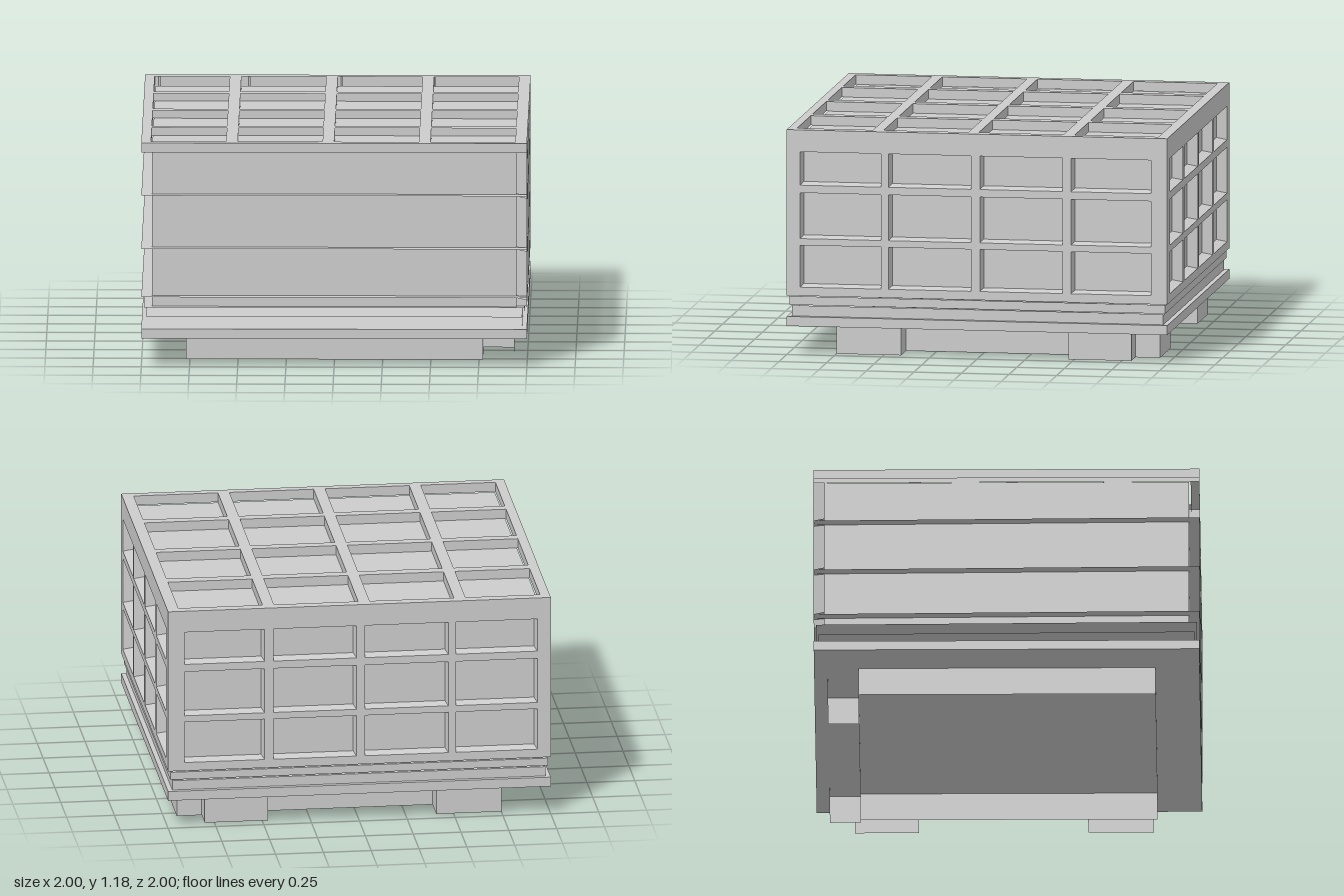
import * as THREE from 'three';

const grey = new THREE.MeshStandardMaterial({ color: 0xcccccc, side: THREE.DoubleSide });
grey.name = 'plain grey';

function part(name, geometry, x = 0, y = 0, z = 0) {
  const mesh = new THREE.Mesh(geometry, grey);
  mesh.position.set(x, y, z);
  mesh.name = name;
  return mesh;
}

// Square slab centred on the vertical axis
const slab = (name, half, y0, y1) =>
  part(name, new THREE.BoxGeometry(half * 2, y1 - y0, half * 2), 0, (y0 + y1) / 2, 0);

// Four-sided thin sheet through corners a, b, c, d
function sheet(name, a, b, c, d) {
  const geometry = new THREE.BufferGeometry();
  geometry.setAttribute('position', new THREE.Float32BufferAttribute([a, b, c, a, c, d].flat(), 3));
  geometry.computeVertexNormals();
  return part(name, geometry);
}

// Upright sheet between two points on the ground plan
const upright = (name, [xa, za], [xb, zb], y0, y1) =>
  sheet(name, [xa, y0, za], [xb, y0, zb], [xb, y1, zb], [xa, y1, za]);

// Near-horizontal sheet with its own height at the back and the front
const ledge = (name, x0, x1, z0, z1, yBack, yFront) =>
  sheet(name, [x0, yFront, z1], [x1, yFront, z1], [x1, yBack, z0], [x0, yBack, z0]);

// Pierced plate facing +z, with one returned edge per column and per row;
// side picks which edge of each column is returned (0 low, 1 high),
// lean is how far the returns slope into the windows
function lattice(name, y0, y1, columns, rows, side, depth, lean) {
  const group = new THREE.Group();
  group.name = name;
  const shape = new THREE.Shape();
  shape.moveTo(-1, y0).lineTo(1, y0).lineTo(1, y1).lineTo(-1, y1).closePath();
  for (const [a, b] of columns) {
    for (const [c, d] of rows) {
      const hole = new THREE.Path();
      hole.moveTo(a, c).lineTo(a, d).lineTo(b, d).lineTo(b, c).closePath();
      shape.holes.push(hole);
    }
  }
  group.add(part('gridFace', new THREE.ShapeGeometry(shape)));
  for (const column of columns) {
    const u = column[side];
    const v = u + (side ? -lean : lean);
    group.add(sheet('uprightReturn', [u, y0, 0], [u, y1, 0], [v, y1, -depth], [v, y0, -depth]));
  }
  for (const [c] of rows) {
    group.add(sheet('crossReturn', [-1, c, 0], [1, c, 0], [1, c + lean, -depth], [-1, c + lean, -depth]));
  }
  return group;
}

export function createModel() {
  const model = new THREE.Group();
  model.name = 'panelledBlock';

  // Main block and plinth rim
  model.add(slab('body', 0.945, 0.31, 1.13), slab('plinthRim', 1, 0.15, 0.2));

  // Stepped ledges, with upright faces on the left and back only
  for (const [half, y0, y1] of [[0.975, 0.2, 0.25], [0.987, 0.26, 0.3]]) {
    model.add(
      ledge('stepLedge', -half, half, -half, half, y1, y1 + 0.01),
      upright('stepLeftFace', [half, half], [half, -half], y0, y1 + 0.005),
      upright('stepBackFace', [half, -half], [-half, -half], y0, y1),
    );
  }

  // Roof grid and its rim on the front and right
  const roof = lattice('roofGrid', -1, 1,
    [[-0.95, -0.56], [-0.5, -0.06], [0, 0.44], [0.5, 0.94]],
    [[-0.955, -0.555], [-0.5, -0.055], [0, 0.445], [0.505, 0.945]], 0, 0.05, 0);
  roof.rotation.x = -Math.PI / 2;
  roof.position.y = 1.18;
  model.add(
    roof,
    upright('roofFrontRim', [-1, 1], [1, 1], 1.13, 1.18),
    upright('roofRightRim', [-1, -1], [-1, 1], 1.13, 1.18),
  );

  // Window grids on the left and back walls
  const columns = [[-0.93, -0.505], [-0.465, -0.03], [0.015, 0.45], [0.495, 0.915]];
  const rows = [[0.355, 0.575], [0.61, 0.85], [0.89, 1.065]];
  const leftGrid = lattice('leftWallGrid', 0.31, 1.18, columns, rows, 0, 0.055, 0.012);
  leftGrid.rotation.y = Math.PI / 2;
  leftGrid.position.x = 1;
  const backColumns = columns.map(([a, b]) => [-b, -a]);
  const backGrid = lattice('backWallGrid', 0.31, 1.18, backColumns, rows, 1, 0.055, 0.012);
  backGrid.rotation.y = Math.PI;
  backGrid.position.z = -1;
  model.add(leftGrid, backGrid);

  // Thin ledges on the front and right walls
  for (const [y] of rows) {
    model.add(
      ledge('frontLedge', -1, 1, 0.945, 1, y + 0.012, y + 0.012),
      ledge('rightLedge', -1, -0.945, -1, 1, y, y + 0.012),
    );
  }

  // Open skirt under the plinth
  const s = 0.77;
  const corners = [[-s, s], [s, s], [s, -s], [-s, -s]];
  corners.forEach((corner, i) => {
    model.add(upright('skirtWall', corner, corners[(i + 1) % 4], 0, 0.15));
  });

  // Angled feet along the left and back edges
  for (const [a, b] of [[0.41, 0.75], [-0.8, -0.47]]) {
    model.add(
      upright('leftFootFace', [0.93, b], [0.93, a], 0, 0.15),
      upright('leftFootSide', [0.93, a], [0.77, a], 0, 0.15),
      upright('backFootFace', [-a, -0.93], [-b, -0.93], 0, 0.15),
      upright('backFootSide', [-a, -0.77], [-a, -0.93], 0, 0.15),
    );
  }
  return model;
}
